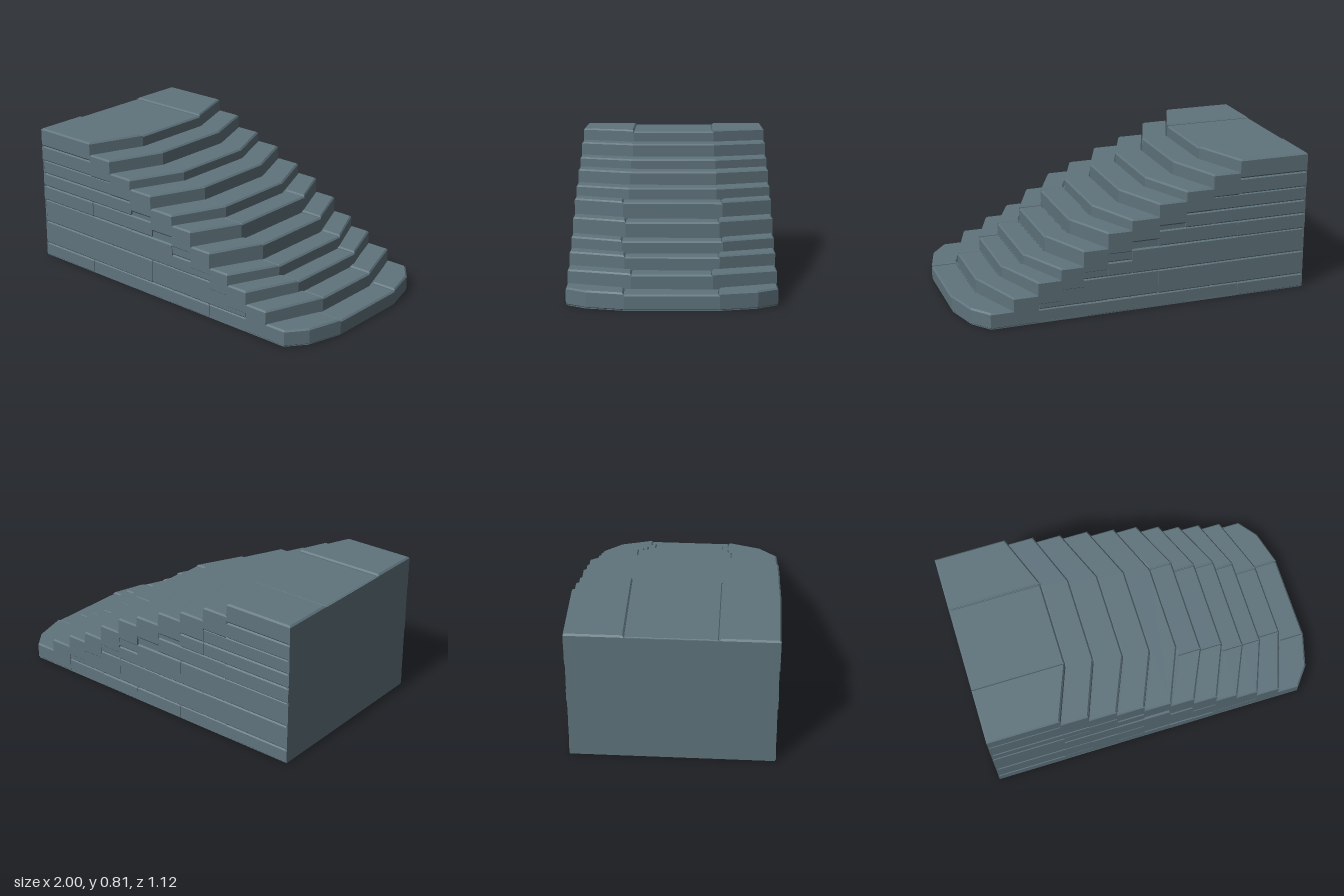
import * as THREE from 'three';

const HALF = 0.56;      // half width of the stair
const CHAMFER = 0.009;

// One entry per step, top to bottom: tread height, nose x at the centre, nose x at the sides,
// z of the bend, and whether the tread is split into three stones
const STEPS = [
  [0.81, -0.47, -0.59, 0.245, true],
  [0.74, -0.31, -0.43, 0.245, false],
  [0.665, -0.14, -0.27, 0.25, false],
  [0.61, 0.02, -0.11, 0.25, false],
  [0.535, 0.18, 0.05, 0.25, false],
  [0.48, 0.32, 0.19, 0.28, true],
  [0.39, 0.46, 0.33, 0.26, true],
  [0.305, 0.59, 0.46, 0.275, true],
  [0.24, 0.71, 0.59, 0.255, true],
  [0.17, 0.85, 0.73, 0.215, true],
  [0.095, 1.0, 0.86, 0.25, true],
];

// Side wall courses: bottom y, top y, then the x of each joint
const COURSES = [
  [0, 0.08, -1, -0.59, -0.265, 0.055, 0.325, 0.595],
  [0.08, 0.22, -1, -0.425, -0.105, 0.19, 0.585],
  [0.22, 0.36, -1, -0.58, -0.27, 0.05],
  [0.22, 0.3, 0.05, 0.19],
  [0.22, 0.36, 0.19, 0.33],
  [0.3, 0.4, 0.05, 0.19],
  [0.36, 0.45, -1, -0.58, -0.105],
  [0.45, 0.53, -1, -0.43, -0.265],
  [0.53, 0.61, -1, -0.43],
  [0.61, 0.7, -1, -0.59],
];

export function createModel() {
  const group = new THREE.Group();
  const material = new THREE.MeshStandardMaterial({ color: 0x5f737c, flatShading: true });
  material.name = 'slateBlueStone';

  // Prism over a plan outline of [x, z] points, optionally with chamfered edges
  function prism(name, plan, y0, y1, chamfer = CHAMFER) {
    const shape = new THREE.Shape(plan.map(([x, z]) => new THREE.Vector2(x, -z)));
    const geometry = new THREE.ExtrudeGeometry(shape, {
      depth: y1 - y0 - 2 * chamfer,
      bevelEnabled: chamfer > 0,
      bevelSegments: 1,
      bevelSize: chamfer,
      bevelThickness: chamfer,
      bevelOffset: -chamfer,
    });
    geometry.rotateX(-Math.PI / 2);
    geometry.translate(0, y0 + chamfer, 0);
    const mesh = new THREE.Mesh(geometry, material);
    mesh.name = name;
    group.add(mesh);
  }

  // Bent front edge of a step from -z to +z; the lowest one has rounded corners
  function noseLine(i, bend, width = HALF, inset = 0) {
    if (i < 0) return [[-1, -width], [-1, -bend], [-1, bend], [-1, width]];
    const nose = STEPS[i][1] - inset;
    const side = STEPS[i][2] - inset;
    const half = [[side, width], [nose, bend]];
    if (i === STEPS.length - 1) half.splice(1, 0, [0.945 - inset, 0.45]);
    return [...half.map(([x, z]) => [x, -z]), ...half.reverse()];
  }

  STEPS.forEach(([top, , , bend, split], i) => {
    const last = i === STEPS.length - 1;

    // Solid core showing at the bottom of the joints
    prism('stairCore', [[-1, -0.548], ...noseLine(i, bend, 0.548, 0.013), [-1, 0.548]],
      last ? 0 : Math.max(0, top - 0.25), top - 0.014, 0);

    // Tread stones
    const y0 = i > 8 ? 0 : top - (i === 0 ? 0.11 : 0.135);
    const front = noseLine(i, bend);
    const back = noseLine(i - 1, bend);
    if (split) {
      const pick = (line, lo, hi) => line.filter(([, z]) => z >= lo - 1e-6 && z <= hi + 1e-6);
      [[-HALF, -bend], [-bend, bend], [bend, HALF]].forEach(([lo, hi], k) => {
        const drop = k === 1 ? 0.009 : 0.003 * ((i + k) % 2);
        const rear = pick(back, lo, hi).filter(([, z]) => z === lo || z === hi);
        prism(k === 1 ? 'centreTread' : 'sideTread',
          [...pick(front, lo, hi), ...rear.reverse()], y0, top - drop);
      });
    } else {
      prism('tread', [...front, ...back.reverse()], y0, top);
    }
  });

  // Brickwork on both side walls
  for (const side of [-1, 1]) {
    COURSES.forEach(([y0, y1, ...joints], c) => {
      for (let j = 0; j < joints.length - 1; j++) {
        const outer = side * (HALF - 0.002 * ((c + 2 * j) % 3));
        const inner = side * 0.5;
        const [a, b] = [joints[j], joints[j + 1]];
        prism('wallBrick', [[a, inner], [b, inner], [b, outer], [a, outer]], y0, y1, 0.007);
      }
    });
  }

  // Flat back and underside
  prism('backFace', [[-1, -0.557], [-0.99, -0.557], [-0.99, 0.557], [-1, 0.557]], 0, 0.799, 0);
  prism('baseFace', [[-1, -0.557], ...noseLine(10, 0.25, 0.557, 0.004), [-1, 0.557]], 0, 0.008, 0);

  return group;
}
